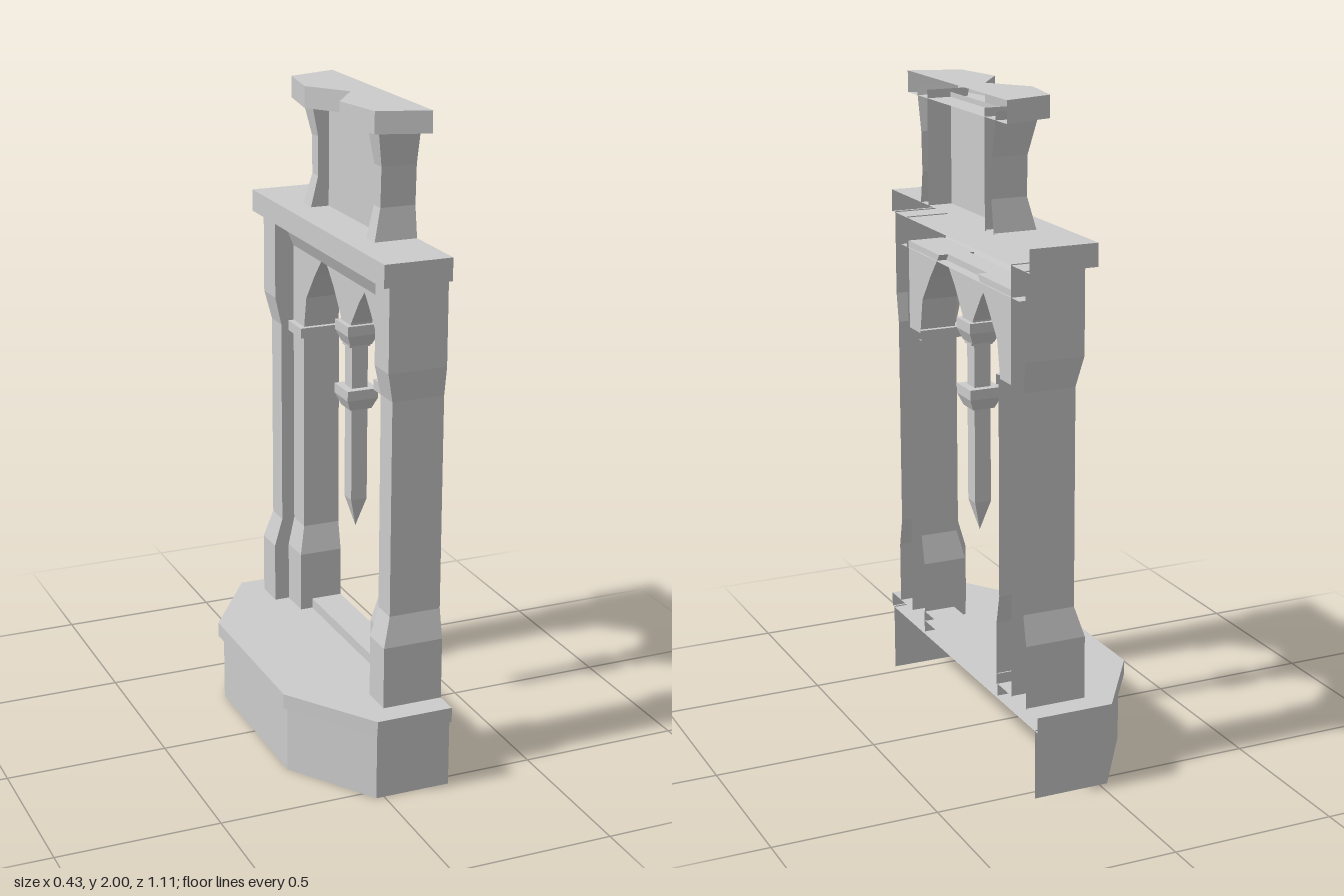
import * as THREE from 'three';

const CUT = 0.21; // the open, hollow side of the half structure

export function createModel() {
  const model = new THREE.Group();
  model.name = 'hollowArchway';
  const stone = new THREE.MeshStandardMaterial({ color: 0xcccccc, side: THREE.DoubleSide, flatShading: true });
  stone.name = 'pale stone';

  const add = (name, geometry, parent = model) => {
    const mesh = new THREE.Mesh(geometry, stone);
    mesh.name = name;
    parent.add(mesh);
    return mesh;
  };

  // Strip of quads joining rings of points; the ring may stay open on the cut side
  const loft = (rings, closed = false) => {
    const pos = [];
    for (let r = 0; r < rings.length - 1; r++) {
      const a = rings[r], b = rings[r + 1];
      const n = closed ? a.length : a.length - 1;
      for (let i = 0; i < n; i++) {
        const j = (i + 1) % a.length;
        pos.push(...a[i], ...a[j], ...b[j], ...a[i], ...b[j], ...b[i]);
      }
    }
    const g = new THREE.BufferGeometry();
    g.setAttribute('position', new THREE.Float32BufferAttribute(pos, 3));
    g.computeVertexNormals();
    return g;
  };

  // Slab from an [x, z] outline whose ends lie on the cut
  const slab = (name, outline, y0, y1, caps = true) => {
    const g = new THREE.Group();
    g.name = name;
    const ring = y => outline.map(([x, z]) => [x, y, z]);
    add(name + 'Edge', loft([ring(y0), ring(y1)]), g);
    if (caps) {
      for (const [y, side] of [[y1, 'Top'], [y0, 'Underside']]) {
        const s = new THREE.Shape(outline.map(([x, z]) => new THREE.Vector2(x, -z)));
        const cap = new THREE.ShapeGeometry(s);
        cap.rotateX(side === 'Top' ? -Math.PI / 2 : Math.PI / 2);
        if (side === 'Underside') cap.scale(1, 1, -1);
        cap.translate(0, y, 0);
        cap.computeVertexNormals();
        add(name + side, cap, g);
      }
    }
    model.add(g);
  };

  // Three-sided upright shaft, sections are [y, frontX, innerZ, outerZ]
  const shaft = (name, sections, m) => add(name, loft(sections.map(([y, x, zi, zo]) => {
    const ring = [[CUT, y, zo * m], [x, y, zo * m], [x, y, zi * m], [CUT, y, zi * m]];
    return m > 0 ? ring : ring.reverse();
  })));

  // Plate drawn in z and y, with thickness along x
  const plate = (name, pts, x0, x1, m = 1) => {
    const s = new THREE.Shape(pts.map(([z, y]) => new THREE.Vector2(z * m, y)));
    const g = new THREE.ExtrudeGeometry(s, { depth: x1 - x0, bevelEnabled: false });
    g.rotateY(-Math.PI / 2);
    g.translate(x1, 0, 0);
    return add(name, g);
  };

  // Plinth walls and paving slab
  slab('plinth', [[CUT, 0.54], [-0.025, 0.54], [-0.2, 0.272], [-0.2, -0.272], [-0.025, -0.54], [CUT, -0.54]], 0, 0.215, false);
  slab('plinthSlab', [[CUT, 0.555], [-0.03, 0.555], [-0.215, 0.28], [-0.215, -0.28], [-0.03, -0.555], [CUT, -0.555]], 0.212, 0.258);
  // Raised sill between the jambs
  slab('sill', [[CUT, 0.28], [0.11, 0.28], [0.11, -0.28], [CUT, -0.28]], 0.22, 0.29);

  // Entablature and notched crown
  slab('entablature', [[CUT, 0.5], [0, 0.5], [0, -0.5], [CUT, -0.5]], 1.547, 1.615);
  slab('crown', [[CUT, 0.355], [0.055, 0.305], [0.025, 0.13], [0.115, 0], [0.025, -0.13], [0.055, -0.305], [CUT, -0.355]], 1.935, 2);

  // Sloped frieze under the entablature
  const frieze = z => [[CUT, 1.455, z], [0.09, 1.455, z], [0.05, 1.547, z]];
  add('frieze', loft([frieze(0.43), frieze(-0.43)]));

  for (const m of [1, -1]) {
    // Outer pillars with flared foot and head
    shaft('pillar', [
      [0.255, 0.022, 0.38, 0.48], [0.45, 0.022, 0.38, 0.48], [0.54, 0.048, 0.38, 0.46],
      [1.2, 0.048, 0.38, 0.46], [1.29, 0.028, 0.38, 0.475], [1.55, 0.028, 0.38, 0.475]], m);
    // Slimmer inner jambs
    shaft('jamb', [
      [0.255, 0.07, 0.275, 0.38], [0.45, 0.07, 0.275, 0.38],
      [0.54, 0.09, 0.295, 0.38], [1.2, 0.09, 0.295, 0.38]], m);
    // Impost at the spring of the arch
    shaft('impost', [[1.18, 0.09, 0.295, 0.38], [1.18, 0.072, 0.276, 0.38],
      [1.212, 0.072, 0.276, 0.38], [1.212, 0.09, 0.295, 0.38]], m);
    // Curved half arch above the jamb
    plate('archSide', [[0.38, 1.2], [0.38, 1.475], [0.14, 1.475], [0.157, 1.455],
      [0.21, 1.395], [0.275, 1.31], [0.295, 1.2]], 0.09, 0.205, m);
    // Waisted brackets holding the crown
    shaft('crownBracket', [
      [1.612, 0.076, 0.205, 0.265], [1.71, 0.1, 0.205, 0.25],
      [1.83, 0.1, 0.205, 0.255], [1.96, 0.075, 0.205, 0.285]], m);
  }

  // Recessed panel between the brackets
  const panel = new THREE.PlaneGeometry(0.41, 0.34);
  panel.rotateY(-Math.PI / 2);
  panel.translate(0.135, 1.78, 0);
  add('panel', panel);

  // Central arch spandrel
  const half = [[0.157, 1.475], [0.157, 1.455], [0.095, 1.39], [0.037, 1.31], [0.025, 1.23]];
  plate('archCentre', [...half, ...half.map(([z, y]) => [-z, y]).reverse()], 0.105, 0.175);

  // Hanging pendant with a pointed tip, sections are [y, halfWidth]
  const square = ([y, h]) => [[0.14 - h, y, h], [0.14 - h, y, -h], [0.14 + h, y, -h], [0.14 + h, y, h]];
  add('pendant', loft([[0.645, 0], [0.74, 0.026], [1.31, 0.026]].map(square), true));
  for (const y of [1.035, 1.238]) {
    add('pendantCollar', loft([[y, 0.026], [y, 0.035], [y + 0.035, 0.05],
      [y + 0.066, 0.05], [y + 0.066, 0.026]].map(square), true));
  }
  return model;
}
